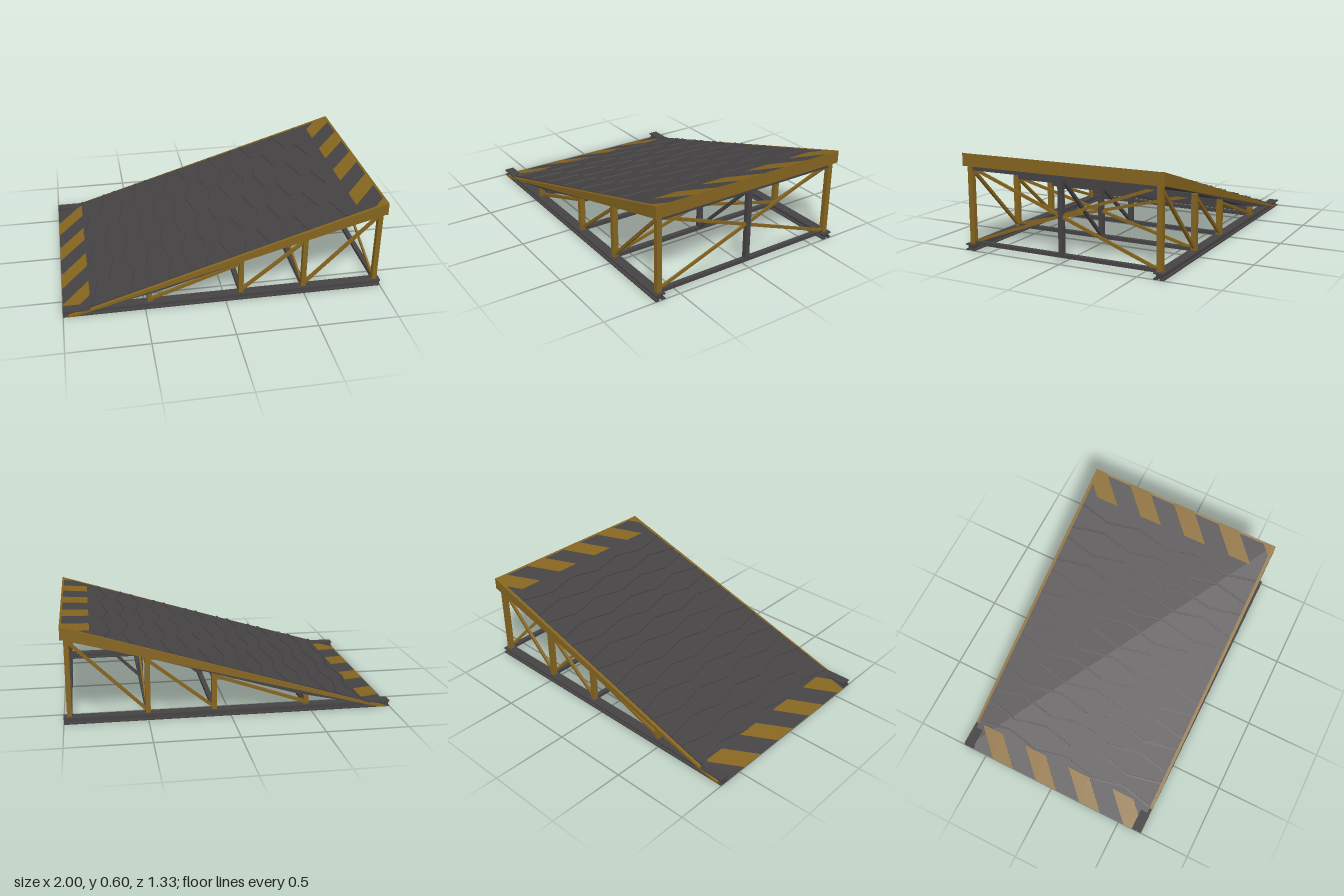
import * as THREE from 'three';

const steel = new THREE.MeshStandardMaterial({ color: 0x454243 });
steel.name = 'dark steel';
const yellow = new THREE.MeshStandardMaterial({ color: 0x84641f });
yellow.name = 'safety yellow';

const SLOPE = 0.2985;
const deckY = (x) => SLOPE * (x + 1);
// Lays flat parts on the inclined deck, with their thickness square to it
const incline = new THREE.Matrix4().set(
  1, -0.286, 0, 0,
  SLOPE, 0.958, 0, SLOPE,
  0, 0, 1, 0,
  0, 0, 0, 1);

// Keep the part of a polygon of [x, z] points where sign * z <= limit
function clip(points, sign, limit) {
  const out = [];
  points.forEach((a, i) => {
    const b = points[(i + 1) % points.length];
    const da = limit - sign * a[1], db = limit - sign * b[1];
    if (da >= 0) out.push(a);
    if (da * db < 0) {
      const t = da / (da - db);
      out.push([a[0] + (b[0] - a[0]) * t, a[1] + (b[1] - a[1]) * t]);
    }
  });
  return out;
}

export function createModel() {
  const model = new THREE.Group();
  model.name = 'loadingRamp';

  const add = (name, geometry, material) => {
    const mesh = new THREE.Mesh(geometry, material);
    mesh.name = name;
    model.add(mesh);
    return mesh;
  };
  const box = (name, material, sx, sy, sz, x, y, z) =>
    add(name, new THREE.BoxGeometry(sx, sy, sz).translate(x, y, z), material);

  // Straight bar between two points
  const bar = (name, material, a, b, width, depth) => {
    const from = new THREE.Vector3(...a), to = new THREE.Vector3(...b);
    const mesh = add(name, new THREE.BoxGeometry(width, depth, from.distanceTo(to)), material);
    mesh.position.copy(from).lerp(to, 0.5);
    mesh.lookAt(to);
  };

  // Side profile in x, y extruded across z
  const profile = (name, material, points, z0, z1) => {
    const shape = new THREE.Shape(points.map((p) => new THREE.Vector2(...p)));
    const geometry = new THREE.ExtrudeGeometry(shape, { depth: z1 - z0, bevelEnabled: false });
    add(name, geometry.translate(0, 0, z0), material);
  };

  // Flat outline in x, z raised from the deck surface
  const deckPlate = (name, material, points, height) => {
    const shape = new THREE.Shape(points.map(([x, z]) => new THREE.Vector2(x, -z)));
    const geometry = new THREE.ExtrudeGeometry(shape, { depth: height, bevelEnabled: false });
    add(name, geometry.rotateX(-Math.PI / 2).applyMatrix4(incline), material);
  };

  // Deck wedge, tapered side rails and end plate
  profile('deck', steel,
    [[-1, 0], [-0.92, 0], [-0.4, 0.115], [0.99, 0.532], [0.99, deckY(0.99)]], -0.645, 0.645);
  for (const s of [-1, 1]) {
    profile('sideRail', yellow, [[-1, 0], [-0.93, 0], [1, 0.525], [1, 0.6], [-0.83, 0.041]],
      s > 0 ? 0.645 : -0.665, s > 0 ? 0.665 : -0.645);
  }
  profile('endPlate', yellow,
    [[0.988, 0.521], [1, 0.521], [1, 0.599], [0.988, deckY(0.988)]], -0.665, 0.665);

  // Zigzag grip ribs, mirrored on every second row
  for (let row = 0; row < 14; row++) {
    const near = [], far = [];
    for (let i = 0; i <= 6; i++) {
      const z = -0.644 + (i * 1.288) / 6;
      const x = -0.805 + row * 0.118 + 0.022 * (i % 2 ? 1 : -1) * (row % 2 ? -1 : 1);
      near.push([x - 0.007, z]);
      far.unshift([x + 0.007, z]);
    }
    deckPlate('gripRib', steel, [...near, ...far], 0.006);
  }

  // Hazard stripes: slanted yellow bars at each end
  const hazard = (x0, x1, firstZ, limit) => {
    for (let i = 0; i < 5; i++) {
      const z = firstZ + i * 0.328;
      let points = [[x0, z], [x0, z + 0.155], [x1, z - 0.01], [x1, z - 0.165]];
      points = clip(clip(points, 1, limit), -1, limit);
      if (points.length > 2) deckPlate('hazardStripe', yellow, points, 0.002);
    }
  };
  hazard(-0.999, -0.83, -0.776, 0.598);
  hazard(0.83, 1, -0.575, 0.645);

  // Ground beams: paired channels with a slot along the underside
  for (const s of [-1, 1]) {
    box('beamTopFlange', steel, 2, 0.008, 0.064, 0, 0.036, s * 0.632);
    for (const side of [-1, 1]) {
      box('beamBottomFlange', steel, 2, 0.008, 0.024, 0, 0.004, s * 0.632 + side * 0.02);
      box('beamWeb', steel, 2, 0.026, 0.006, 0, 0.02, s * 0.632 + side * 0.011);
    }
  }

  // Support frames: posts, cross members and centre post
  const stations = [-0.47, 0.1, 0.5, 0.965];
  stations.forEach((x, i) => {
    const top = deckY(x) - 0.063;
    for (const s of [-1, 1]) {
      box('sidePost', yellow, 0.03, top - 0.04, 0.034, x, (top + 0.04) / 2, s * 0.628);
    }
    box('upperCrossMember', steel, 0.03, 0.029, 1.22, x, top - 0.0145, 0);
    box('lowerCrossMember', steel, 0.03, 0.022, 1.22, x, 0.046, 0);
    if (i > 0) box('centrePost', steel, 0.03, top - 0.04, 0.03, x, (top + 0.04) / 2, 0);

    // Diagonals running to the next frame
    if (i < 3) {
      const next = stations[i + 1], nextTop = deckY(next) - 0.08;
      for (const z of [-0.628, 0, 0.628]) {
        bar(z ? 'sideDiagonal' : 'centreDiagonal', z ? yellow : steel,
          [x, 0.05, z], [next, nextTop, z], 0.018, 0.018);
      }
    }

    // Crossed braces on the two tallest frames
    if (i > 1) {
      for (const s of [-1, 1]) {
        bar('crossBrace', yellow, [x + s * 0.006, 0.055, -s * 0.61],
          [x + s * 0.006, top - 0.018, s * 0.61], 0.012, 0.018);
      }
    }
  });

  return model;
}
